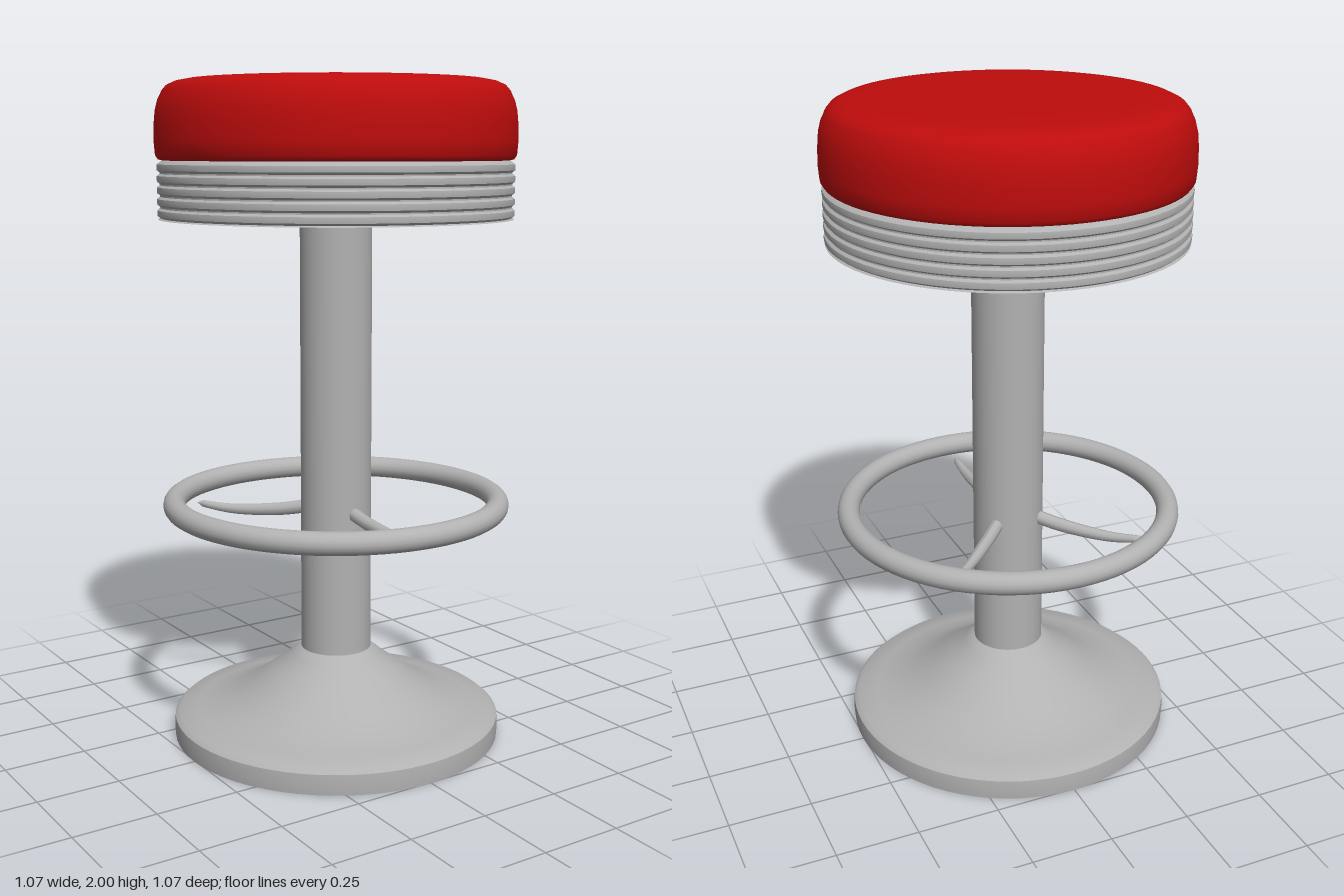
import * as THREE from 'three';
import { toCreasedNormals } from 'three/addons/utils/BufferGeometryUtils.js';

const metal = new THREE.MeshStandardMaterial({ color: 0xb2b2b2 });
metal.name = 'grey metal';
const vinyl = new THREE.MeshStandardMaterial({ color: 0xbe0c0c });
vinyl.name = 'red vinyl';

// Turned part from [radius, height] pairs, listed bottom to top
function turned(name, profile, material, crease = 0.6) {
  const points = profile.map(([r, y]) => new THREE.Vector2(r, y));
  const geometry = toCreasedNormals(new THREE.LatheGeometry(points, 72), crease);
  const mesh = new THREE.Mesh(geometry, material);
  mesh.name = name;
  return mesh;
}

// Curved, tapering arm from the column out to the foot ring
function spoke(name, x, z) {
  const at = (t, y) => new THREE.Vector3(x * t, y, z * t);
  const curve = new THREE.CatmullRomCurve3([at(0.18, 0.715), at(0.4, 0.698), at(0.75, 0.69), at(1, 0.703)]);
  const rings = 20, sides = 10;
  const geometry = new THREE.TubeGeometry(curve, rings, 0.02, sides);
  const pos = geometry.attributes.position;
  const v = new THREE.Vector3();
  for (let i = 0; i < pos.count; i++) {
    const t = Math.floor(i / (sides + 1)) / rings;
    const centre = curve.getPointAt(t);
    // Thin towards the tip, closing to a point
    const scale = t === 1 ? 0 : 1.05 - 0.55 * t * t;
    v.fromBufferAttribute(pos, i).sub(centre).multiplyScalar(scale).add(centre);
    pos.setXYZ(i, v.x, v.y, v.z);
  }
  geometry.computeVertexNormals();
  const mesh = new THREE.Mesh(geometry, metal);
  mesh.name = name;
  return mesh;
}

export function createModel() {
  const stool = new THREE.Group();
  stool.name = 'barStool';

  // Flared pedestal foot
  stool.add(turned('base', [
    [0, 0], [0.505, 0], [0.507, 0.03], [0.505, 0.062], [0.49, 0.075],
    [0.43, 0.083], [0.36, 0.104], [0.3, 0.132], [0.24, 0.172],
    [0.19, 0.21], [0.155, 0.234], [0.138, 0.25], [0.118, 0.266], [0.1, 0.275],
  ], metal));

  // Central post
  const column = new THREE.Mesh(new THREE.CylinderGeometry(0.108, 0.108, 1.4, 48, 1, true), metal);
  column.name = 'column';
  column.position.y = 0.91;
  stool.add(column);

  // Foot ring and its three arms
  const ring = new THREE.Mesh(new THREE.TorusGeometry(0.495, 0.034, 16, 80), metal);
  ring.name = 'footRing';
  ring.rotation.x = Math.PI / 2;
  ring.position.y = 0.735;
  stool.add(ring);
  stool.add(spoke('frontSpoke', 0, 0.45));
  stool.add(spoke('leftSpoke', 0.31, -0.325));
  stool.add(spoke('rightSpoke', -0.31, -0.325));

  // Ribbed metal band under the cushion
  const band = [[0, 1.597], [0.525, 1.597]];
  const ribs = 5, ribHeight = 0.033;
  for (let i = 0; i < ribs; i++) {
    const y = 1.599 + i * ribHeight;
    band.push([0.518, y + 0.002], [0.526, y + 0.008], [0.527, y + 0.017], [0.526, y + 0.025], [0.518, y + 0.031]);
  }
  band.push([0.51, 1.767], [0, 1.767]);
  stool.add(turned('seatBand', band, metal));

  // Padded cushion with a soft piped edge
  stool.add(turned('cushion', [
    [0, 1.765], [0.5, 1.765], [0.522, 1.77], [0.53, 1.782], [0.533, 1.82],
    [0.532, 1.87], [0.528, 1.91], [0.52, 1.94], [0.513, 1.953], [0.508, 1.965],
    [0.495, 1.98], [0.472, 1.991], [0.44, 1.997], [0.38, 2], [0, 2],
  ], vinyl, 0.9));

  return stool;
}
